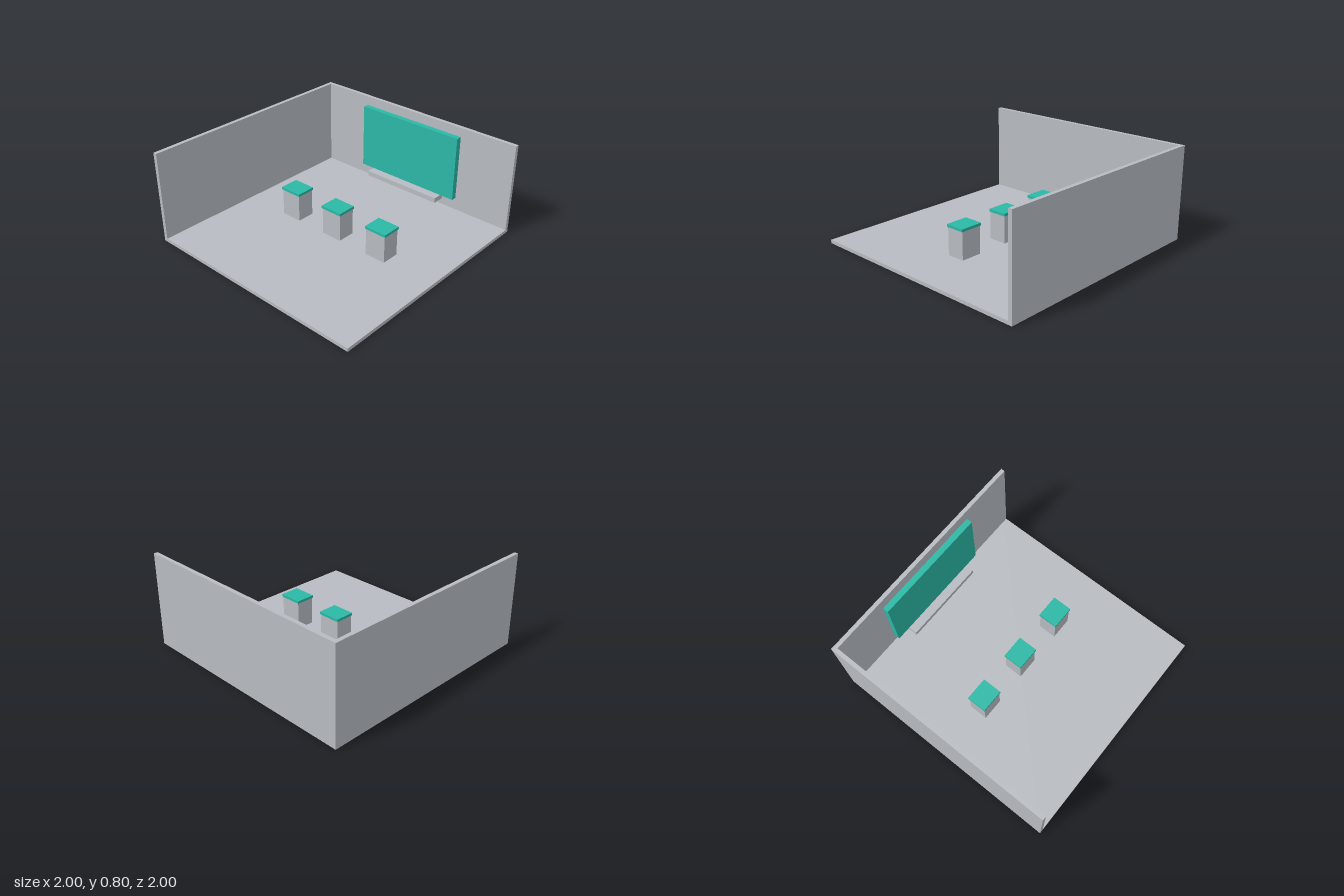
import * as THREE from 'three';

export function createModel() {
  const model = new THREE.Group();
  const grey = new THREE.MeshStandardMaterial({ name: 'grey', color: 0xb8bcc2 });
  const teal = new THREE.MeshStandardMaterial({ name: 'teal', color: 0x2bb8a6 });

  // Box given by its min and max on each axis
  const box = (name, material, [x0, x1], [y0, y1], [z0, z1], parent = model) => {
    const mesh = new THREE.Mesh(new THREE.BoxGeometry(x1 - x0, y1 - y0, z1 - z0), material);
    mesh.position.set((x0 + x1) / 2, (y0 + y1) / 2, (z0 + z1) / 2);
    mesh.name = name;
    parent.add(mesh);
  };

  // Room shell: floor, back wall and one side wall
  const wall = 0.034, floor = 0.03, height = 0.8;
  box('floor', grey, [-1, 1], [0, floor], [-1, 1]);
  box('backWall', grey, [-1, 1], [floor, height], [-1, -1 + wall]);
  box('sideWall', grey, [-1, -1 + wall], [floor, height], [-1 + wall, 1]);

  // Display panel with a ledge beneath it
  box('displayPanel', teal, [-0.5, 0.5], [0.152, 0.727], [-0.95, -0.9]);
  box('ledge', grey, [-0.373, 0.373], [0.105, 0.15], [-0.935, -0.825]);

  // Row of three pedestals with coloured tops
  for (const x of [-0.46, 0, 0.46]) {
    const pedestal = new THREE.Group();
    pedestal.name = 'pedestal';
    pedestal.position.x = x;
    box('pedestalBase', grey, [-0.093, 0.093], [floor, 0.265], [-0.078, 0.078], pedestal);
    box('pedestalTop', teal, [-0.1, 0.1], [0.265, 0.287], [-0.084, 0.084], pedestal);
    model.add(pedestal);
  }
  return model;
}
